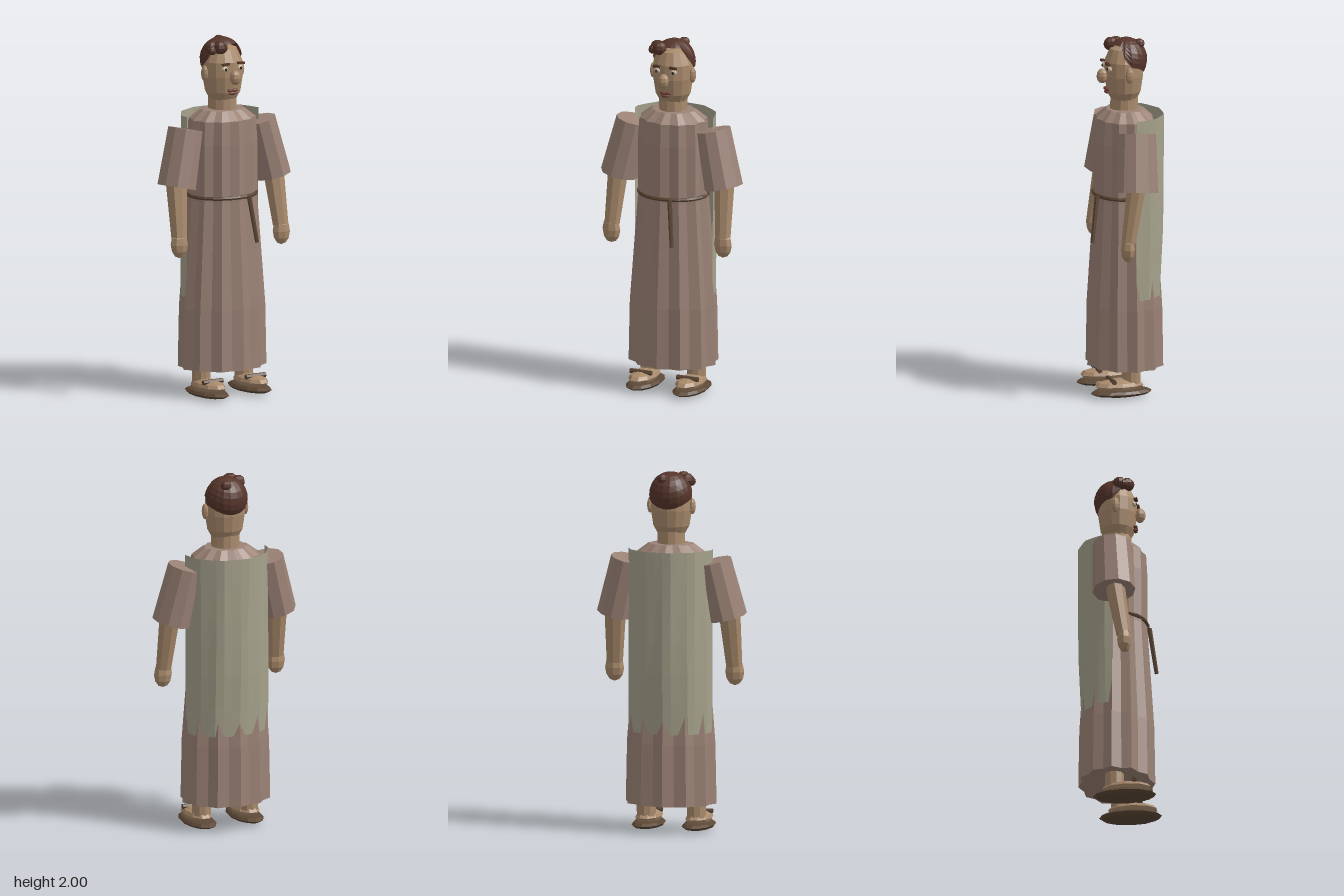
import * as THREE from 'three';

const mat = (color, side = THREE.FrontSide) =>
  new THREE.MeshStandardMaterial({ color, flatShading: true, side });

export function createModel() {
  const root = new THREE.Group();
  const skin = mat(0xa98a6c), cloth = mat(0x9b8276), hair = mat(0x56352a, THREE.DoubleSide);
  const leather = mat(0x5c4735), lip = mat(0x6e4236), dark = mat(0x2e2420), white = mat(0xc4b49c);
  const drape = mat(0xa6a28c, THREE.DoubleSide);

  const add = (name, geo, m, parent = root) => {
    const mesh = new THREE.Mesh(geo, m);
    mesh.name = name;
    parent.add(mesh);
    return mesh;
  };
  // Ellipsoid with centre and three radii
  const blob = (name, m, [x, y, z], [rx, ry, rz], parent = root, ws = 10, hs = 7) => {
    const b = add(name, new THREE.SphereGeometry(1, ws, hs), m, parent);
    b.position.set(x, y, z);
    b.scale.set(rx, ry, rz);
    return b;
  };
  // Tapered cylinder from lower point a to upper point b
  const limb = (name, m, a, b, ra, rb, sides = 10, flat = 1, parent = root) => {
    const p = new THREE.Vector3(...a), q = new THREE.Vector3(...b);
    const d = q.clone().sub(p);
    const c = add(name, new THREE.CylinderGeometry(rb, ra, d.length(), sides), m, parent);
    c.position.copy(p).add(q).multiplyScalar(0.5);
    c.quaternion.setFromUnitVectors(new THREE.Vector3(0, 1, 0), d.normalize());
    c.scale.z = flat;
    return c;
  };
  const lathe = (pts, n) => new THREE.LatheGeometry(pts.map(p => new THREE.Vector2(...p)), n);

  // Pleated robe: every second column of the lathe is pulled inwards
  const profile = [[0, 0.16], [0.257, 0.16], [0.25, 0.5], [0.204, 1.1], [0.204, 1.42],
    [0.195, 1.55], [0.128, 1.6], [0.06, 1.605]];
  const robe = lathe(profile, 24);
  const rp = robe.attributes.position;
  for (let i = 0; i < rp.count; i++) {
    const k = Math.floor(i / profile.length) % 2 ? 0.91 : 1;
    rp.setXYZ(i, rp.getX(i) * k, rp.getY(i), rp.getZ(i) * k * 0.83 - 0.01);
  }
  add('robe', robe, cloth);

  // Belt and hanging cord
  const belt = add('belt', new THREE.TorusGeometry(0.196, 0.011, 6, 24), leather);
  belt.rotation.x = Math.PI / 2;
  belt.scale.y = 0.87;
  belt.position.set(0, 1.125, -0.01);
  limb('beltCord', leather, [0.09, 0.87, 0.2], [0.06, 1.13, 0.164], 0.011, 0.013, 6);

  // Half-round cloak hanging down the back
  const cols = 16, rows = 6;
  const cloak = new THREE.PlaneGeometry(1, 1, cols, rows);
  const cp = cloak.attributes.position;
  for (let i = 0; i < cp.count; i++) {
    const u = cp.getX(i) + 0.5, t = 0.5 - cp.getY(i), a = u * Math.PI;
    const r = 1 + 0.018 * Math.cos(u * cols * 2.1 + t * 2);
    const s = 1 - 0.09 * Math.max(0, t - 0.6) / 0.4;
    cp.setXYZ(i, 0.238 * r * Math.cos(a), 1.575 - 1.015 * t, -0.01 - 0.211 * r * s * Math.sin(a));
  }
  add('cloak', cloak, drape);

  // Arms and legs, mirrored
  for (const s of [1, -1]) {
    const side = s > 0 ? 'left' : 'right';
    const arm = new THREE.Group();
    arm.name = side + 'Arm';
    root.add(arm);
    limb('sleeve', cloth, [s * 0.317, 1.195, 0.01], [s * 0.243, 1.51, -0.012], 0.106, 0.095, 10, 1.12, arm);
    limb('forearm', skin, [s * 0.338, 0.92, 0.066], [s * 0.322, 1.25, 0.012], 0.046, 0.063, 8, 0.88, arm);
    blob('hand', skin, [s * 0.34, 0.885, 0.07], [0.054, 0.075, 0.04], arm, 8, 6);

    const foot = new THREE.Group();
    foot.name = side + 'Foot';
    root.add(foot);
    limb('ankle', skin, [s * 0.142, 0.07, -0.007], [s * 0.142, 0.3, -0.007], 0.052, 0.055, 10, 1, foot);
    blob('foot', skin, [s * 0.142, 0.07, 0.062], [0.073, 0.037, 0.14], foot, 10, 6);
    blob('sandalSole', leather, [s * 0.142, 0.031, 0.05], [0.088, 0.027, 0.175], foot, 12, 6);
    limb('sandalStrap', leather, [s * 0.142 - 0.065, 0.1, 0.107], [s * 0.142 + 0.065, 0.1, 0.107], 0.014, 0.014, 6, 1, foot);
  }

  // Neck and head
  const head = new THREE.Group();
  head.name = 'head';
  root.add(head);
  limb('neck', skin, [0, 1.57, -0.008], [0, 1.69, -0.008], 0.08, 0.077, 12, 1, head);
  const skull = add('skull', lathe([[0, 1.635], [0.068, 1.642], [0.1, 1.7], [0.114, 1.79],
    [0.112, 1.87], [0.08, 1.94], [0, 1.97]], 14), skin, head);
  skull.scale.z = 0.94;
  skull.position.z = -0.005;

  // Hair cap: hairline is high on the brow and low at the nape
  const cap = new THREE.SphereGeometry(1, 18, 8, 0, Math.PI * 2, 0, 1.5);
  const hp = cap.attributes.position;
  for (let i = 0; i < hp.count; i++) {
    const x = hp.getX(i), z = hp.getZ(i);
    const a = Math.abs(Math.atan2(x, z));
    const edge = 0.75 + 1.0 * THREE.MathUtils.smoothstep(a, 0.8, 1.5) + 0.45 * THREE.MathUtils.smoothstep(a, 1.5, 3);
    const t = Math.acos(Math.min(1, hp.getY(i))) / 1.5 * edge, b = Math.atan2(x, z);
    hp.setXYZ(i, Math.sin(t) * Math.sin(b) * 0.12, Math.cos(t) * 0.124, Math.sin(t) * Math.cos(b) * 0.116);
  }
  add('hairCap', cap, hair, head).position.set(0, 1.875, -0.02);
  const curls = [[-0.055, 1.955, 0.052, 0.042], [-0.085, 1.95, 0.015, 0.042], [-0.1, 1.94, 0.038, 0.028],
    [0.03, 1.965, -0.085, 0.032]];
  curls.forEach(([x, y, z, r]) => blob('curl', hair, [x, y, z], [r, r * 0.9, r], head, 8, 6));

  // Face
  blob('nose', skin, [0, 1.79, 0.118], [0.032, 0.042, 0.032], head, 8, 6);
  for (const s of [1, -1]) {
    blob('ear', skin, [s * 0.12, 1.808, -0.005], [0.018, 0.045, 0.024], head, 8, 6);
    blob('eye', white, [s * 0.05, 1.838, 0.09], [0.021, 0.016, 0.014], head, 8, 6);
    blob('pupil', dark, [s * 0.05, 1.838, 0.102], [0.008, 0.009, 0.005], head, 6, 5);
    const brow = add('eyebrow', new THREE.BoxGeometry(0.042, 0.011, 0.02), hair, head);
    brow.position.set(s * 0.05, 1.866, 0.1);
    brow.rotation.z = -s * 0.08;
    blob('upperLip', lip, [s * 0.015, 1.716, 0.093], [0.022, 0.009, 0.014], head, 8, 5);
  }
  blob('lowerLip', lip, [0, 1.699, 0.092], [0.027, 0.009, 0.014], head, 8, 5);

  return root;
}
